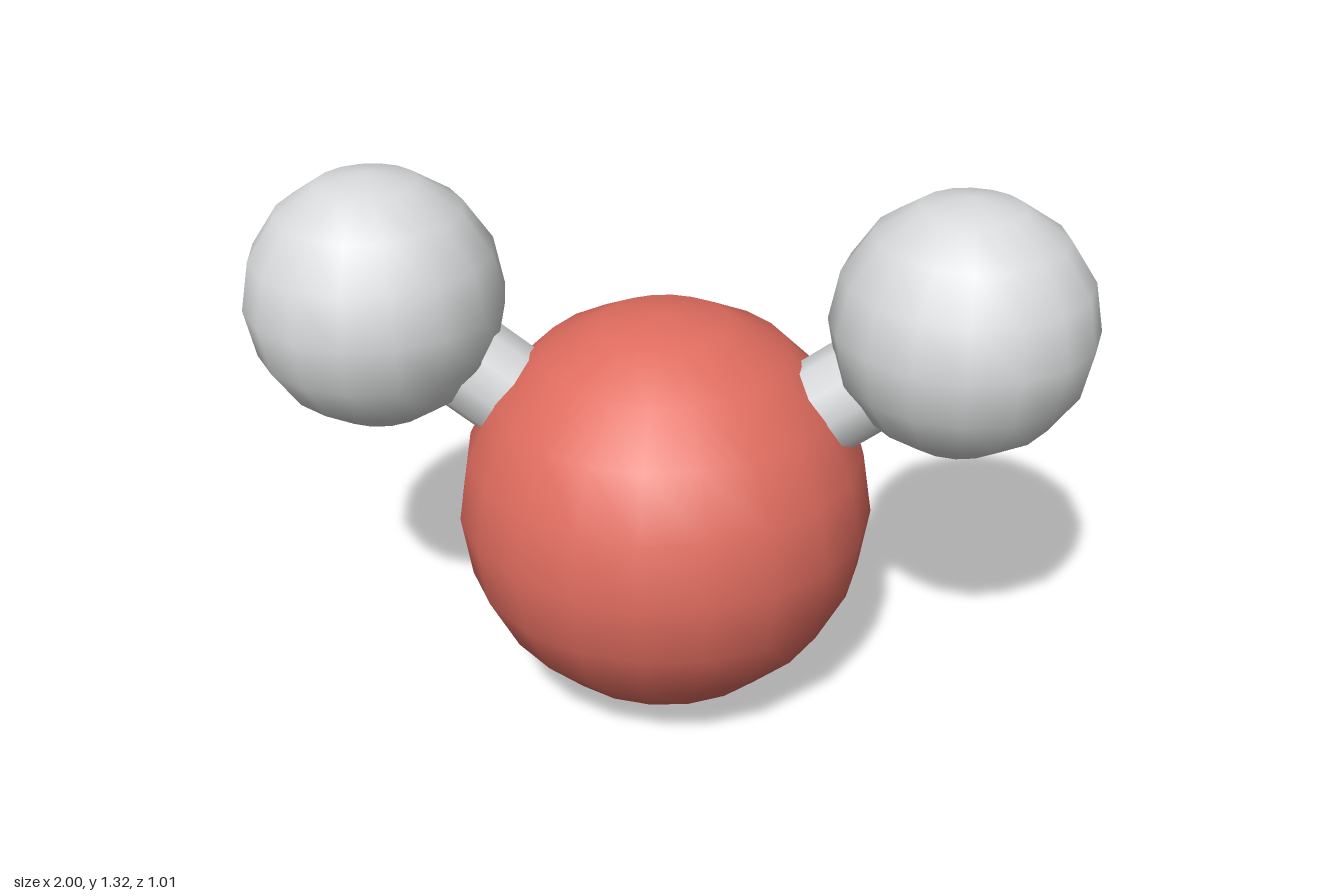
import * as THREE from 'three';

export function createModel() {
  const model = new THREE.Group();
  const red = new THREE.MeshStandardMaterial({ color: 0xe06c5f });
  red.name = 'red';
  const lightGrey = new THREE.MeshStandardMaterial({ color: 0xd9dadb });
  lightGrey.name = 'lightGrey';

  const add = (name, geometry, material, position) => {
    const mesh = new THREE.Mesh(geometry, material);
    mesh.name = name;
    mesh.position.copy(position);
    model.add(mesh);
    return mesh;
  };

  // Large central atom
  const center = new THREE.Vector3(0, 0.505, 0);
  add('centralAtom', new THREE.SphereGeometry(0.503, 20, 10), red, center);

  // Two small atoms, each joined to the centre by a bond
  const atomGeometry = new THREE.SphereGeometry(0.311, 16, 8);
  for (const [side, sign] of [['left', 1], ['right', -1]]) {
    const end = new THREE.Vector3(sign * 0.689, 1.013, 0);
    add(side + 'Atom', atomGeometry, lightGrey, end);

    const axis = end.clone().sub(center);
    const bond = add(side + 'Bond', new THREE.CylinderGeometry(0.12, 0.12, axis.length(), 10),
      lightGrey, center.clone().add(end).multiplyScalar(0.5));
    bond.rotation.z = -Math.atan2(axis.x, axis.y);
  }
  return model;
}
